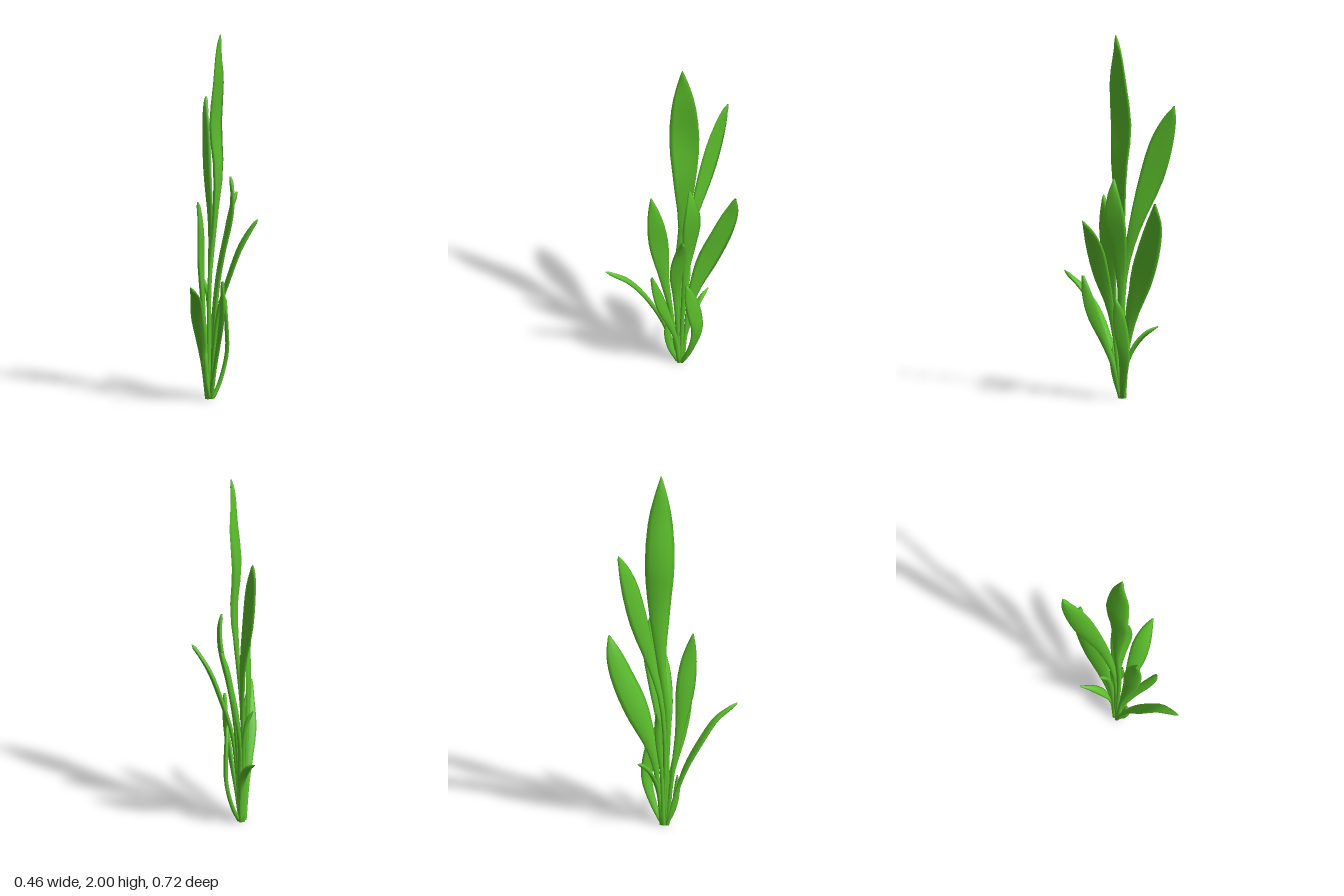
import * as THREE from 'three';

const green = new THREE.MeshStandardMaterial({ color: 0x5cc02c, side: THREE.DoubleSide });
const SIDES = 8, STEPS = 20;

// One leaf: round stalk widening into a thin cupped blade.
// stations: [x, y, z, halfWidth] from root to tip; w: blade width direction; cup: edge curl.
function leaf(name, stations, w, cup = 0.2) {
  const spine = new THREE.CatmullRomCurve3(stations.map(([x, y, z]) => new THREE.Vector3(x, y, z)));
  const width = new THREE.CatmullRomCurve3(stations.map(([, y, , h]) => new THREE.Vector3(h, y, 0)));
  const across = new THREE.Vector3(...w);
  const pos = [], idx = [];
  for (let i = 0; i <= STEPS; i++) {
    const t = Math.max(0, i - 1) / (STEPS - 1);   // first two rings share a level: closed root
    const p = spine.getPoint(t), tan = spine.getTangent(t);
    const side = across.clone().addScaledVector(tan, -across.dot(tan)).normalize();
    const normal = tan.clone().cross(side);
    const half = i === 0 ? 0 : Math.max(0.002, width.getPoint(t).x);
    const thick = Math.min(half, 0.011);
    const curl = Math.max(0, half - 0.015) * cup;
    for (let j = 0; j < SIDES; j++) {
      const a = (j / SIDES) * Math.PI * 2, c = Math.cos(a);
      const v = p.clone().addScaledVector(side, c * half)
        .addScaledVector(normal, Math.sin(a) * thick + curl * (c * c - 0.5));
      pos.push(v.x, Math.max(0, v.y), v.z);
      if (i < STEPS) {
        const k = (j + 1) % SIDES, r = i * SIDES, s = r + SIDES;
        idx.push(r + j, r + k, s + j, r + k, s + k, s + j);
      }
    }
  }
  const geo = new THREE.BufferGeometry();
  geo.setAttribute('position', new THREE.Float32BufferAttribute(pos, 3));
  geo.setIndex(idx);
  geo.computeVertexNormals();
  const mesh = new THREE.Mesh(geo, green);
  mesh.name = name;
  return mesh;
}

export function createModel() {
  const g = new THREE.Group();
  g.name = 'plant';
  g.add(
    // tall central blade
    leaf('tallLeaf', [[-0.06, 0, -0.04, 0.014], [-0.055, 0.35, -0.03, 0.013], [-0.05, 0.65, -0.03, 0.016],
      [-0.04, 0.92, -0.06, 0.024], [-0.022, 1.25, -0.07, 0.062], [-0.04, 1.5, -0.068, 0.082],
      [-0.018, 1.75, -0.065, 0.066], [-0.012, 1.9, -0.062, 0.033], [0, 2, -0.06, 0.003]], [0.12, 0, 1], 0.3),
    // large leaves leaning to the back
    leaf('backRightLeaf', [[-0.06, 0, -0.05, 0.013], [-0.06, 0.4, -0.04, 0.012], [-0.065, 0.7, -0.06, 0.016],
      [-0.09, 0.95, -0.115, 0.035], [-0.15, 1.22, -0.185, 0.066], [-0.185, 1.42, -0.235, 0.062],
      [-0.21, 1.55, -0.275, 0.034], [-0.22, 1.62, -0.3, 0.003]], [0.75, 0, 0.75]),
    leaf('backLeaf', [[-0.055, 0, -0.06, 0.013], [-0.06, 0.25, -0.08, 0.013], [-0.07, 0.45, -0.115, 0.032],
      [-0.08, 0.68, -0.195, 0.07], [-0.08, 0.87, -0.275, 0.066], [-0.075, 1.0, -0.32, 0.045],
      [-0.055, 1.1, -0.346, 0.006]], [0.4, 0.3, 0.85]),
    // upright leaves on the left side
    leaf('backLeftLeaf', [[-0.05, 0, -0.05, 0.013], [-0.04, 0.35, -0.06, 0.012], [-0.025, 0.6, -0.075, 0.02],
      [0.0, 0.8, -0.095, 0.042], [0.04, 1.0, -0.11, 0.058], [0.05, 1.13, -0.108, 0.034],
      [0.04, 1.22, -0.1, 0.004]], [0.55, 0, 0.8]),
    leaf('leftLeaf', [[-0.045, 0, -0.04, 0.012], [-0.02, 0.3, -0.03, 0.012], [0.012, 0.5, -0.025, 0.022],
      [0.075, 0.69, -0.03, 0.046], [0.13, 0.84, -0.045, 0.047], [0.185, 0.94, -0.06, 0.027],
      [0.227, 1.0, -0.066, 0.003]], [0.5, -0.3, 0.8]),
    // leaves at the front
    leaf('frontLeaf', [[-0.06, 0, -0.03, 0.013], [-0.06, 0.3, 0.0, 0.012], [-0.055, 0.55, 0.04, 0.026],
      [-0.05, 0.78, 0.07, 0.053], [-0.04, 0.93, 0.088, 0.046], [-0.04, 1.03, 0.102, 0.026],
      [-0.045, 1.1, 0.112, 0.004]], [0.2, 0, 1]),
    leaf('frontLeftLeaf', [[-0.045, 0, -0.04, 0.012], [-0.012, 0.18, -0.022, 0.014], [0.025, 0.31, 0.008, 0.022],
      [0.07, 0.46, 0.052, 0.034], [0.093, 0.58, 0.083, 0.026], [0.102, 0.67, 0.103, 0.007]], [0.65, -0.3, 0.65]),
    leaf('archingFrontLeaf', [[-0.065, 0, -0.03, 0.012], [-0.06, 0.2, 0.025, 0.013], [-0.045, 0.33, 0.075, 0.028],
      [-0.025, 0.47, 0.155, 0.035], [0.012, 0.585, 0.24, 0.028], [0.033, 0.635, 0.31, 0.016],
      [0.043, 0.665, 0.355, 0.003]], [0.95, 0, -0.3]),
    // short leaves round the base
    leaf('bowedBackLeaf', [[-0.045, 0, -0.055, 0.012], [-0.02, 0.1, -0.1, 0.02], [0.0, 0.25, -0.138, 0.034],
      [0.008, 0.38, -0.122, 0.042], [0.012, 0.48, -0.1, 0.032], [0.015, 0.56, -0.08, 0.005]], [0.45, 0, 0.85]),
    leaf('shortBackRightLeaf', [[-0.06, 0, -0.055, 0.011], [-0.065, 0.2, -0.08, 0.013], [-0.095, 0.3, -0.115, 0.022],
      [-0.14, 0.365, -0.155, 0.017], [-0.188, 0.4, -0.193, 0.003]], [0.7, 0.5, -0.6]),
    leaf('shortRightLeaf', [[-0.065, 0, -0.05, 0.012], [-0.068, 0.3, -0.06, 0.011], [-0.078, 0.48, -0.075, 0.02],
      [-0.1, 0.6, -0.083, 0.019], [-0.138, 0.67, -0.088, 0.003]], [0.4, 0, 0.9]),
    leaf('shortFrontLeaf', [[-0.055, 0, -0.035, 0.012], [-0.05, 0.1, 0.008, 0.018], [-0.045, 0.2, 0.024, 0.02],
      [-0.045, 0.28, 0.026, 0.004]], [0.5, 0, 0.85])
  );
  return g;
}
